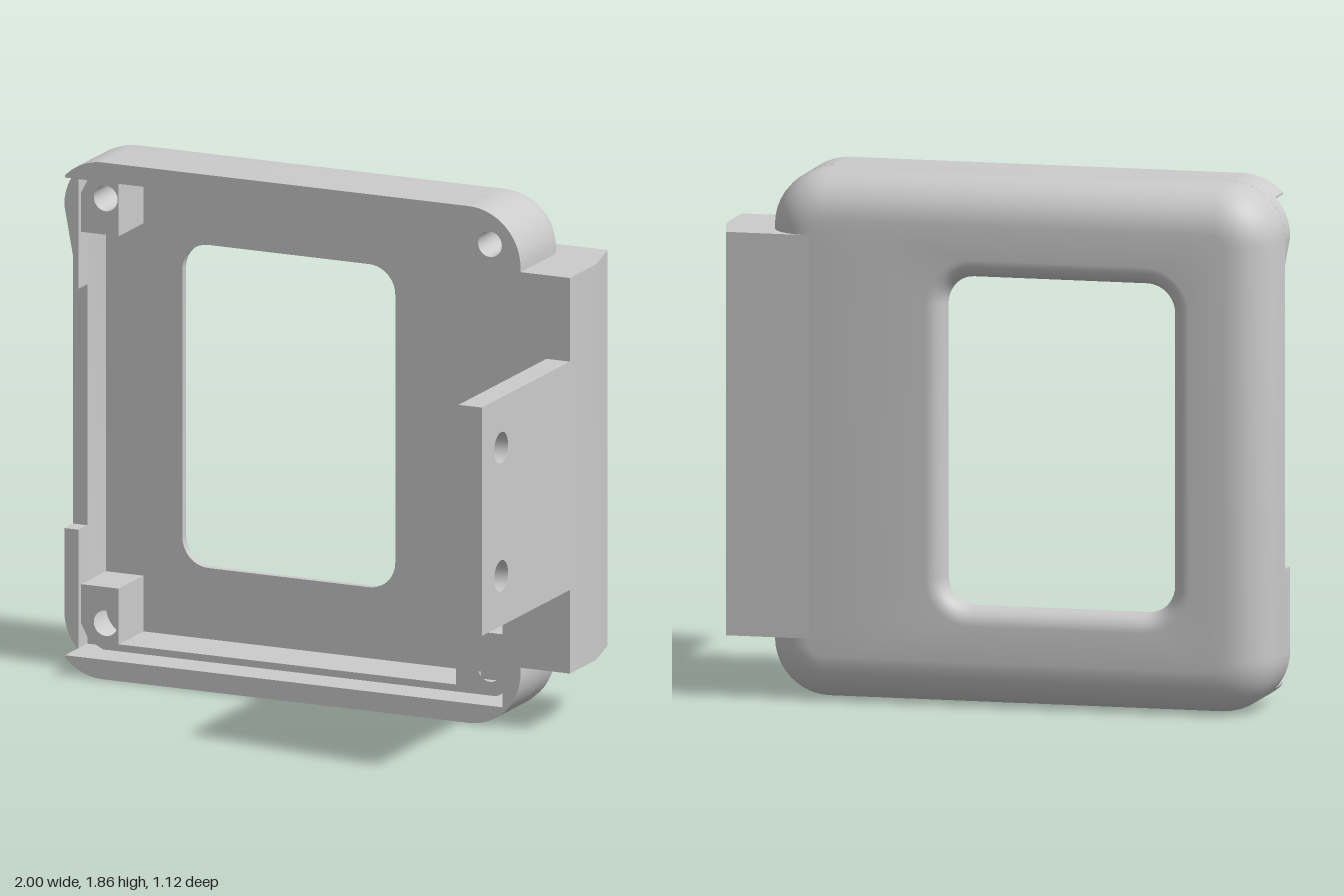
import * as THREE from 'three';
import { toCreasedNormals } from 'three/addons/utils/BufferGeometryUtils.js';

const material = new THREE.MeshStandardMaterial({ color: 0xcccccc });
const OUT = { x0: -1, x1: 0.81, y0: 0, y1: 1.855, r: 0.2 };
const CAV = { x0: -0.945, x1: 0.74, y0: 0.07, y1: 1.785, r: 0.1 };
const WIN = { x0: -0.65, x1: 0.17, y0: 0.35, y1: 1.51, r: 0.1 };
const FRONT = -0.15, LIP = -0.26, NOTCH = -0.33, FLOOR = -0.48, BACK = -0.56;
const H = OUT.y1;

// Rounded rectangle grown by g, counter-clockwise seen from +z
function ring(b, g, z, seg = 10) {
  const pts = [], r = b.r + g;
  const corners = [[b.x1 - b.r, b.y1 - b.r], [b.x0 + b.r, b.y1 - b.r], [b.x0 + b.r, b.y0 + b.r], [b.x1 - b.r, b.y0 + b.r]];
  corners.forEach(([cx, cy], k) => {
    for (let i = 0; i <= seg; i++) {
      const a = (k + i / seg) * Math.PI / 2;
      pts.push([cx + r * Math.cos(a), cy + r * Math.sin(a), z]);
    }
  });
  return pts;
}

function loft(rings) {
  const n = rings[0].length, index = [];
  for (let j = 0; j < rings.length - 1; j++)
    for (let i = 0; i < n; i++) {
      const a = j * n + i, b = j * n + (i + 1) % n;
      index.push(a, b, b + n, a, b + n, a + n);
    }
  const g = new THREE.BufferGeometry();
  g.setAttribute('position', new THREE.Float32BufferAttribute(rings.flat(2), 3));
  g.setIndex(index);
  return toCreasedNormals(g, 0.6);
}

function extrude(shape, z0, z1) {
  const g = new THREE.ExtrudeGeometry(shape, { depth: z1 - z0, bevelEnabled: false, curveSegments: 12 });
  g.translate(0, 0, z0);
  return toCreasedNormals(g, 0.6);
}

const polygon = (pts) => new THREE.Shape(pts.map(([x, y]) => new THREE.Vector2(x, y)));

function addHole(shape, x, y, r) {
  const hole = new THREE.Path();
  hole.absarc(x, y, r, 0, Math.PI * 2, true);
  shape.holes.push(hole);
  return shape;
}

// C-shaped wall, open on the -x side; left walls are kept beyond gapTop when given
function rimShape(gapTop) {
  const { x0, x1, y0, y1, r } = OUT, P = Math.PI;
  const a = gapTop ? P : Math.acos((CAV.x0 - x0 - r) / r);
  const s = new THREE.Shape();
  if (gapTop) s.moveTo(x0, gapTop);
  s.absarc(x0 + r, y1 - r, r, a, P / 2, true);
  s.absarc(x1 - r, y1 - r, r, P / 2, 0, true);
  s.absarc(x1 - r, y0 + r, r, 0, -P / 2, true);
  s.absarc(x0 + r, y0 + r, r, -P / 2, -a, true);
  if (gapTop) {
    s.lineTo(x0, H - gapTop);
    s.lineTo(CAV.x0, H - gapTop);
  }
  s.lineTo(CAV.x0, CAV.y0);
  s.lineTo(CAV.x1, CAV.y0);
  s.lineTo(CAV.x1, CAV.y1);
  s.lineTo(CAV.x0, CAV.y1);
  if (gapTop) s.lineTo(CAV.x0, gapTop);
  return s;
}

export function createModel() {
  const model = new THREE.Group();
  const add = (name, geometry) => {
    const mesh = new THREE.Mesh(geometry, material);
    mesh.name = name;
    model.add(mesh);
    return mesh;
  };

  // Back shell: window edge, rounded back, side wall, cavity, floor
  const rings = [ring(WIN, 0, FLOOR)];
  const fillet = 0.065, round = 0.16, steps = 8;
  for (let i = 0; i <= steps; i++) {
    const t = i / steps * Math.PI / 2;
    rings.push(ring(WIN, fillet * (1 - Math.cos(t)), BACK + fillet * (1 - Math.sin(t))));
  }
  for (let i = 0; i <= steps; i++) {
    const t = i / steps * Math.PI / 2;
    rings.push(ring(OUT, -round * (1 - Math.sin(t)), BACK + round * (1 - Math.cos(t))));
  }
  rings.push(ring(OUT, 0, NOTCH), ring(CAV, 0, NOTCH), ring(CAV, 0, FLOOR), ring(WIN, 0, FLOOR));
  add('backShell', loft(rings));

  // Wall layers: notched side wall, then the open front rim
  add('notchedWall', extrude(rimShape(1.36), NOTCH, LIP));
  add('frontRim', extrude(rimShape(), LIP, FRONT));

  // Screw posts and thin ledges, mirrored top and bottom
  const postTop = -0.28;
  for (const [label, m] of [['upper', (y) => y], ['lower', (y) => H - y]]) {
    const rightSidePost = polygon([[-0.945, 1.56], [-0.8, 1.56], [-0.8, 1.785], [-0.86, 1.785], [-0.916, 1.756], [-0.945, 1.7]].map(([x, y]) => [x, m(y)]));
    add(label + 'RightScrewPost', extrude(addHole(rightSidePost, -0.85, m(1.69), 0.046), FLOOR - 0.01, postTop));
    const leftSidePost = polygon([[0.5, 1.785], [0.5, 1.68], [0.62, 1.56], [0.74, 1.56], [0.74, 1.7], [0.711, 1.756], [0.655, 1.785]].map(([x, y]) => [x, m(y)]));
    add(label + 'LeftScrewPost', extrude(addHole(leftSidePost, 0.63, m(1.69), 0.046), FLOOR - 0.01, postTop));
    const ledge = add(label + 'Ledge', new THREE.BoxGeometry(1.3, 0.03, postTop - FLOOR));
    ledge.position.set(-0.15, m(1.775), (postTop + FLOOR) / 2);
  }

  // Side block with a chamfered rear edge, profile drawn in x and -z
  const block = extrude(polygon([[0.63, 0.56], [0.63, 0.5], [0.76, 0.5], [0.76, 0.15], [1, 0.15], [1, 0.36], [0.95, 0.56]]), 0.22, 1.64);
  add('sideBlock', block.rotateX(-Math.PI / 2));

  // Mounting flange with two through holes, profile drawn in -z and y
  const flange = polygon([[-0.56, 0.52], [0.16, 0.52], [0.16, 1.34], [-0.56, 1.34]]);
  for (const y of [0.7, 1.16]) addHole(flange, -0.405, y, 0.056);
  add('mountingFlange', extrude(flange, 0.91, 1).rotateY(Math.PI / 2));

  return model;
}
